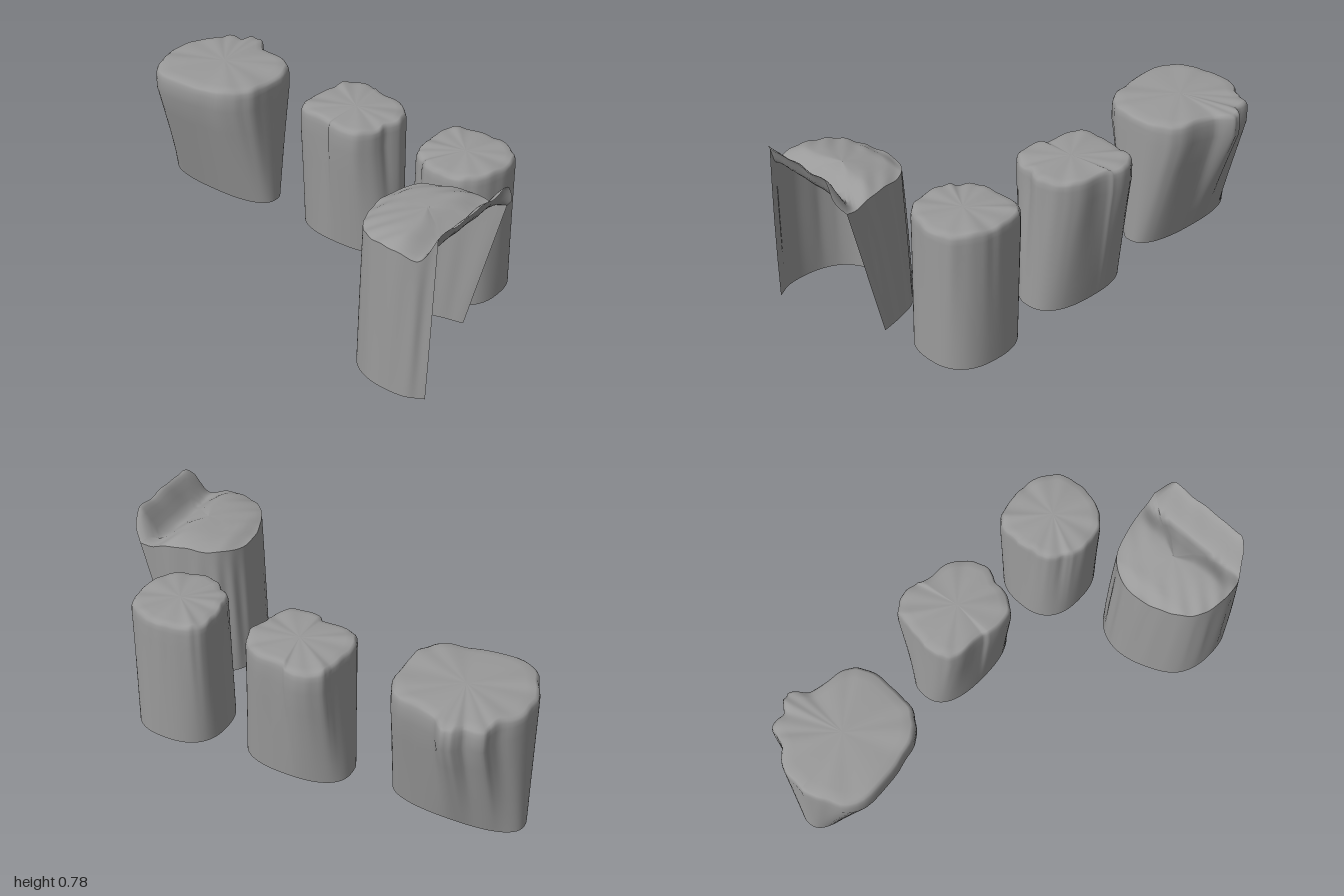
import * as THREE from 'three';

const N = 96;
const material = new THREE.MeshStandardMaterial({ color: 0x9a9a9a, side: THREE.DoubleSide });
const ease = (a, b, v) => THREE.MathUtils.smoothstep(v, a, b);
const mix = THREE.MathUtils.lerp;

// Samples a list of [x, z] corners as a softened curve
function outline(points, closed) {
  const curve = new THREE.CatmullRomCurve3(points.map(([x, z]) => new THREE.Vector3(x, 0, z)), closed, 'centripetal');
  return Array.from({ length: N + 1 }, (_, j) => curve.getPoint(j / N));
}

// Joins rows of [x, y, z] points into one smooth surface
function surface(name, rows) {
  const n = rows[0].length, index = [];
  for (let i = 0; i < rows.length - 1; i++) {
    for (let j = 0; j < n - 1; j++) {
      const a = i * n + j, d = a + n;
      index.push(a, a + 1, d + 1, a, d + 1, d);
    }
  }
  const geometry = new THREE.BufferGeometry();
  geometry.setAttribute('position', new THREE.Float32BufferAttribute(rows.flat(2), 3));
  geometry.setIndex(index);
  geometry.computeVertexNormals();
  const mesh = new THREE.Mesh(geometry, material);
  mesh.name = name;
  return mesh;
}

// Closed stump, open below: an even foot [x, z, halfWidth, halfDepth] flares into an uneven head
function stump(name, head, [cx, cz, hx, hz], headScale) {
  const ring = outline(head, true);
  const headDepth = Math.max(...ring.map((p) => Math.abs(p.z - cz)));
  const levels = [[0, 1], [0.1, 1], [0.2, 1], [0.3, 1], [0.4, 1], [0.52, 1], [0.58, 1], [0.605, 0.99],
    [0.62, 0.97], [0.629, 0.93], [0.631, 0.8], [0.631, 0.55], [0.631, 0.3], [0.631, 0]];
  const rows = levels.map(([y, s]) => ring.map((p, j) => {
    const t = Math.min(y / 0.52, 1);
    const turn = j / N * Math.PI * 2;
    const flute = 1 + t * (0.007 * Math.sin(turn * 13) + 0.006 * Math.sin(turn * 22 + 1));

    // Rounded-box foot, matched to the head by proportion
    const dx = (p.x - cx) / hx, dz = (p.z - cz) / headDepth;
    const r = 1 / Math.pow(Math.abs(dx) ** 2.5 + Math.abs(dz) ** 2.5, 1 / 2.5);
    const x = mix(hx * dx * r, (p.x - cx) * headScale * flute, t);
    const z = mix(hz * dz * r, (p.z - cz) * flute, t);

    // Faint creases running from the rim into the lid
    const wave = 2 + Math.sin(turn * 5 + 2) + Math.sin(turn * 11);
    const crease = ease(0.59, 0.631, y) * s * s * (1 - s * 0.3) * 0.005 * wave;
    return [cx + x * s, y - crease, cz + z * s];
  }));
  return surface(name, rows);
}

// Broken stump: wall open on its left side, lid torn upward into a flap
function brokenStump() {
  const group = new THREE.Group();
  group.name = 'brokenStump';
  const foot = outline([[0.8, -0.005], [0.7, 0.02], [0.6, 0.06], [0.54, 0.13], [0.52, 0.23], [0.55, 0.36],
    [0.62, 0.48], [0.72, 0.53], [0.88, 0.53], [0.96, 0.49]], false);
  const head = [[0.96, -0.015], [0.75, 0.02], [0.63, 0.06], [0.57, 0.13], [0.545, 0.23], [0.57, 0.36],
    [0.63, 0.47], [0.72, 0.515], [0.88, 0.515], [0.965, 0.46]];
  const top = outline(head, false);

  // Lid height: a low swell, a dip, then the raised flap
  const lidY = (x, z, s) => {
    const swell = (0.035 * ease(0.54, 0.62, x) + 0.02 * ease(0.62, 0.8, x)) * (1 - ease(0.8, 0.91, x));
    const ends = ease(-0.03, 0.06, z) * (1 - 0.8 * ease(0.46, 0.53, z));
    const ripple = 1 + 0.03 * Math.sin(z * 31);
    const crease = 0.003 * s * Math.sin(x * 60 + z * 50);
    return 0.632 + swell * (1 - 0.6 * s ** 4) + crease + 0.14 * ease(0.9, 1, x) * ends * ripple;
  };

  // The wall meets the lid's edge
  const wall = [0, 0.25, 0.5, 0.75, 0.9, 1].map((t) => foot.map((p, j) => {
    const q = top[j], w = 0.012 * t * (1 - t) * Math.sin(j * 0.8);
    return [mix(p.x, q.x, t) + w, t * lidY(q.x, q.z, 1), mix(p.z, q.z, t) + w];
  }));
  group.add(surface('brokenStumpWall', wall));

  // The rim repeats the wall's own edge, then closes along the flap
  const flap = outline([head.at(-1), [1, 0.41], [1, 0.3], [1, 0.2], [1, 0.1], [1, 0.02], head[0]], false);
  const rim = [...top, ...flap.slice(1)];
  const lid = [1, 0.97, 0.93, 0.88, 0.8, 0.72, 0.62, 0.5, 0.3, 0].map((s) => rim.map((p) => {
    const x = mix(0.77, Math.min(p.x, 1), s), z = mix(0.25, p.z, s);
    return [x, lidY(x, z, s), z];
  }));
  group.add(surface('brokenStumpLid', lid));
  return group;
}

export function createModel() {
  const model = new THREE.Group();
  model.name = 'stumps';

  // Wide stump, flaring strongly from a narrow foot
  model.add(stump('wideStump', [[-1, -0.2], [-0.97, -0.1], [-0.89, 0.01], [-0.65, 0.01], [-0.5, -0.03],
    [-0.43, -0.1], [-0.41, -0.22], [-0.43, -0.38], [-0.5, -0.44], [-0.66, -0.47], [-0.72, -0.53],
    [-0.77, -0.53], [-0.81, -0.49], [-0.89, -0.48], [-0.91, -0.41], [-0.98, -0.33]],
  [-0.705, -0.245, 0.295, 0.11], 0.96));

  // Middle stump
  model.add(stump('middleStump', [[-0.23, -0.27], [-0.22, -0.18], [-0.17, -0.13], [-0.02, -0.12], [0.02, -0.1],
    [0.15, -0.1], [0.22, -0.17], [0.23, -0.24], [0.26, -0.31], [0.22, -0.4], [0.15, -0.45], [0, -0.47],
    [-0.04, -0.49], [-0.13, -0.49], [-0.2, -0.44], [-0.21, -0.38]],
  [0.015, -0.285, 0.245, 0.14], 0.9));

  // Round stump
  model.add(stump('roundStump', [[0.39, -0.3], [0.4, -0.22], [0.42, -0.15], [0.48, -0.11], [0.52, -0.08],
    [0.62, -0.07], [0.72, -0.1], [0.78, -0.18], [0.8, -0.3], [0.77, -0.39], [0.67, -0.45], [0.57, -0.46],
    [0.45, -0.44], [0.4, -0.4]],
  [0.595, -0.27, 0.203, 0.19], 0.94));

  model.add(brokenStump());
  return model;
}
